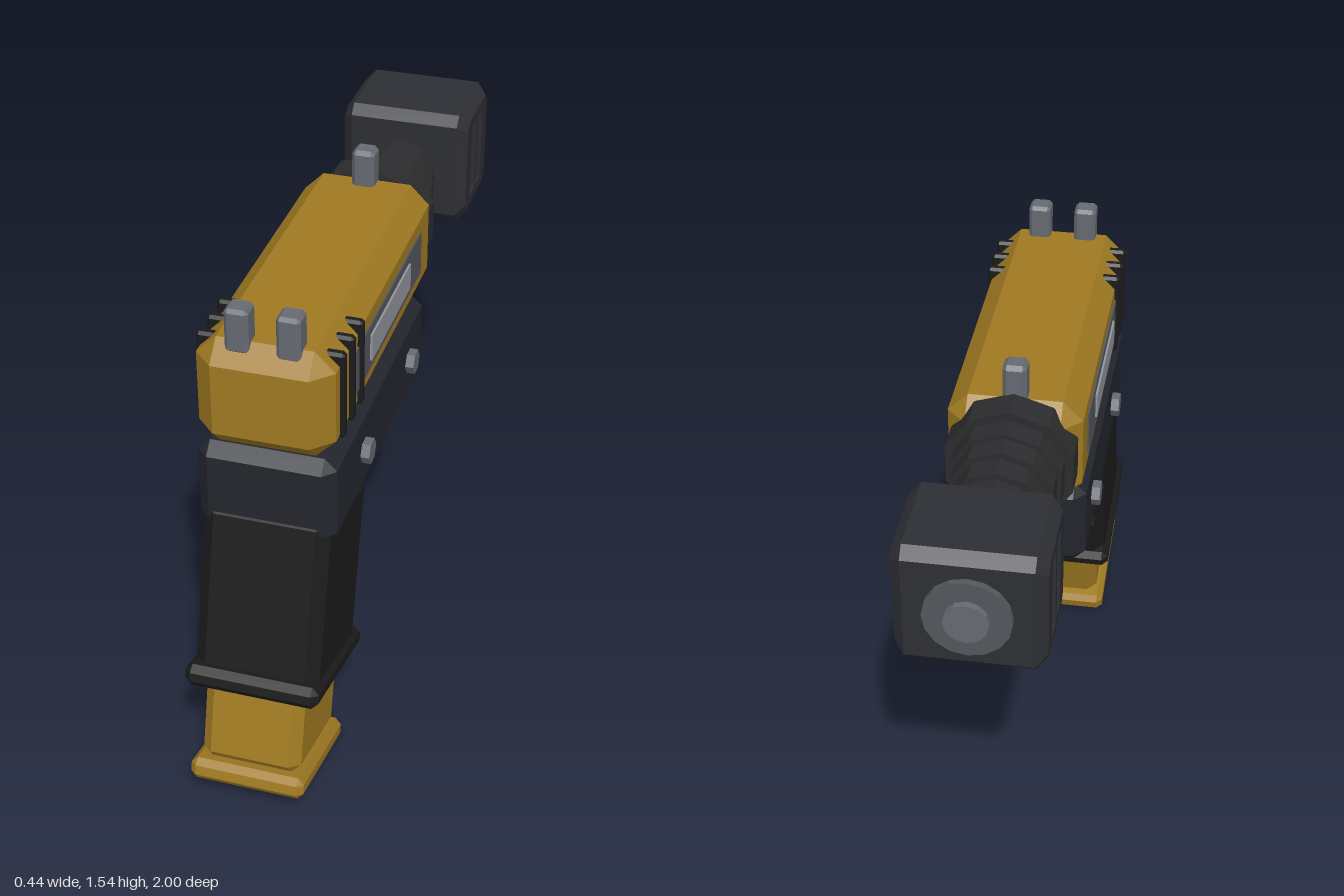
import * as THREE from 'three';
import { ConvexGeometry } from 'three/addons/geometries/ConvexGeometry.js';

const mat = (color) => new THREE.MeshStandardMaterial({ color, flatShading: true });
const gold = mat(0xa07a22);
const frameDark = mat(0x24262e);
const gripBlack = mat(0x1b1b1c);
const barrelDark = mat(0x2c2c2e);
const muzzleDark = mat(0x2e2f34);
const steel = mat(0x666a72);
const panelGrey = mat(0x55575d);
const panelLight = mat(0x92959d);

function add(parent, name, geometry, material, x = 0, y = 0, z = 0) {
  const mesh = new THREE.Mesh(geometry, material);
  mesh.name = name;
  mesh.position.set(x, y, z);
  parent.add(mesh);
  return mesh;
}

// Box with every edge cut off at an even chamfer c
function chamferBox(w, h, d, c) {
  const points = [];
  for (const sx of [-1, 1]) for (const sy of [-1, 1]) for (const sz of [-1, 1]) {
    const x = w / 2, y = h / 2, z = d / 2;
    points.push(
      new THREE.Vector3(sx * x, sy * (y - c), sz * (z - c)),
      new THREE.Vector3(sx * (x - c), sy * y, sz * (z - c)),
      new THREE.Vector3(sx * (x - c), sy * (y - c), sz * z));
  }
  return new ConvexGeometry(points);
}

// Cylinder lying along z
function disc(radius, length, sides) {
  return new THREE.CylinderGeometry(radius, radius, length, sides).rotateX(Math.PI / 2);
}

// Chamfered block with two vertical slots running through it sideways
function muzzleGeometry() {
  const halfZ = 0.16, halfY = 0.183, halfX = 0.2, c = 0.03;
  const shape = new THREE.Shape([
    [-halfZ + c, -halfY], [halfZ - c, -halfY], [halfZ, -halfY + c], [halfZ, halfY - c],
    [halfZ - c, halfY], [-halfZ + c, halfY], [-halfZ, halfY - c], [-halfZ, -halfY + c],
  ].map(([a, b]) => new THREE.Vector2(a, b)));
  for (const s of [-1, 1]) {
    const a = s * 0.041, w = 0.029, h = 0.122;
    shape.holes.push(new THREE.Path([[a - w, -h], [a - w, h], [a + w, h], [a + w, -h]]
      .map(([u, v]) => new THREE.Vector2(u, v))));
  }
  const geometry = new THREE.ExtrudeGeometry(shape, { depth: 3, steps: 3, bevelEnabled: false });
  const layers = [-halfX, -halfX + c, halfX - c, halfX];
  const p = geometry.attributes.position;
  for (let i = 0; i < p.count; i++) {
    const layer = Math.round(p.getZ(i));
    let u = p.getX(i), v = p.getY(i);
    // pull the outer outline in on the two end layers
    if ((layer === 0 || layer === 3) && (Math.abs(u) > 0.1 || Math.abs(v) > 0.14)) {
      u *= (halfZ - c) / halfZ;
      v *= (halfY - c) / halfY;
    }
    p.setXYZ(i, u, v, layers[layer]);
  }
  geometry.rotateY(Math.PI / 2);
  geometry.computeVertexNormals();
  return geometry;
}

export function createModel() {
  const model = new THREE.Group();
  model.name = 'blaster';

  // Upper body and frame
  add(model, 'upperBody', chamferBox(0.38, 0.325, 1.06, 0.057), gold, 0, 1.273, 0.25);
  add(model, 'frame', chamferBox(0.39, 0.275, 0.95, 0.035), frameDark, 0, 0.973, 0.29);

  // Side details, mirrored
  for (const s of [-1, 1]) {
    add(model, 'sidePanel', new THREE.BoxGeometry(0.02, 0.135, 0.685), panelGrey, s * 0.185, 1.273, 0.218);
    add(model, 'sidePanelInset', new THREE.BoxGeometry(0.02, 0.08, 0.405), panelLight, s * 0.191, 1.273, 0.218);
    for (const z of [0.675, 0.592, 0.51])
      add(model, 'gripRib', chamferBox(0.06, 0.262, 0.03, 0.008), gripBlack, s * 0.173, 1.285, z);
    for (const z of [0.475, 0])
      add(model, 'bolt', new THREE.CylinderGeometry(0.037, 0.037, 0.06, 6)
        .rotateY(Math.PI / 6).rotateZ(Math.PI / 2).rotateX(Math.PI / 6), steel, s * 0.19, 0.973, z);
    add(model, 'rearSight', chamferBox(0.066, 0.13, 0.068, 0.01), steel, s * 0.07, 1.47, 0.715);
  }
  add(model, 'frontSight', chamferBox(0.068, 0.14, 0.068, 0.012), steel, 0, 1.475, -0.208);

  // Stepped barrel: [front z, back z, radius]
  const steps = [
    [-0.24, -0.335, 0.188], [-0.335, -0.402, 0.163], [-0.402, -0.47, 0.15],
    [-0.47, -0.54, 0.133], [-0.54, -0.6, 0.115], [-0.6, -0.66, 0.085],
  ];
  for (const [z0, z1, r] of steps)
    add(model, 'barrelStep', disc(r, z0 - z1, 10), barrelDark, 0, 1.273, (z0 + z1) / 2);

  // Muzzle
  add(model, 'muzzleBlock', muzzleGeometry(), muzzleDark, 0, 1.273, -0.803);
  add(model, 'muzzleRing', disc(0.117, 0.03, 16), panelGrey, 0, 1.273, -0.967);
  add(model, 'muzzleLens', disc(0.06, 0.04, 12), steel, 0, 1.273, -0.98);

  // Trigger and guard
  add(model, 'triggerGuard', new THREE.TorusGeometry(0.155, 0.026, 6, 10)
    .rotateZ(Math.PI / 10).rotateY(Math.PI / 2), frameDark, 0, 0.755, 0.253);
  const trigger = add(model, 'trigger', chamferBox(0.05, 0.13, 0.04, 0.008), gripBlack, 0, 0.755, 0.268);
  trigger.rotation.x = -Math.PI / 12;

  // Raked grip with magazine
  const grip = new THREE.Group();
  grip.name = 'gripAssembly';
  grip.position.set(0, 0.6, 0.64);
  grip.rotation.x = -Math.PI / 12;
  model.add(grip);
  add(grip, 'grip', chamferBox(0.36, 0.53, 0.4, 0.035), gripBlack, 0, 0.02, 0.003);
  add(grip, 'gripCollar', chamferBox(0.39, 0.065, 0.46, 0.02), gripBlack, 0, -0.236, 0.011);
  for (const y of [0.215, 0.087, -0.041])
    add(grip, 'fingerRidge', chamferBox(0.31, 0.07, 0.07, 0.018), gripBlack, 0, y, -0.2);
  add(grip, 'magazine', chamferBox(0.29, 0.27, 0.36, 0.03), gold, 0, -0.375, 0.019);
  add(grip, 'magazineBase', chamferBox(0.335, 0.065, 0.41, 0.018), gold, 0, -0.535, 0.018);

  return model;
}
